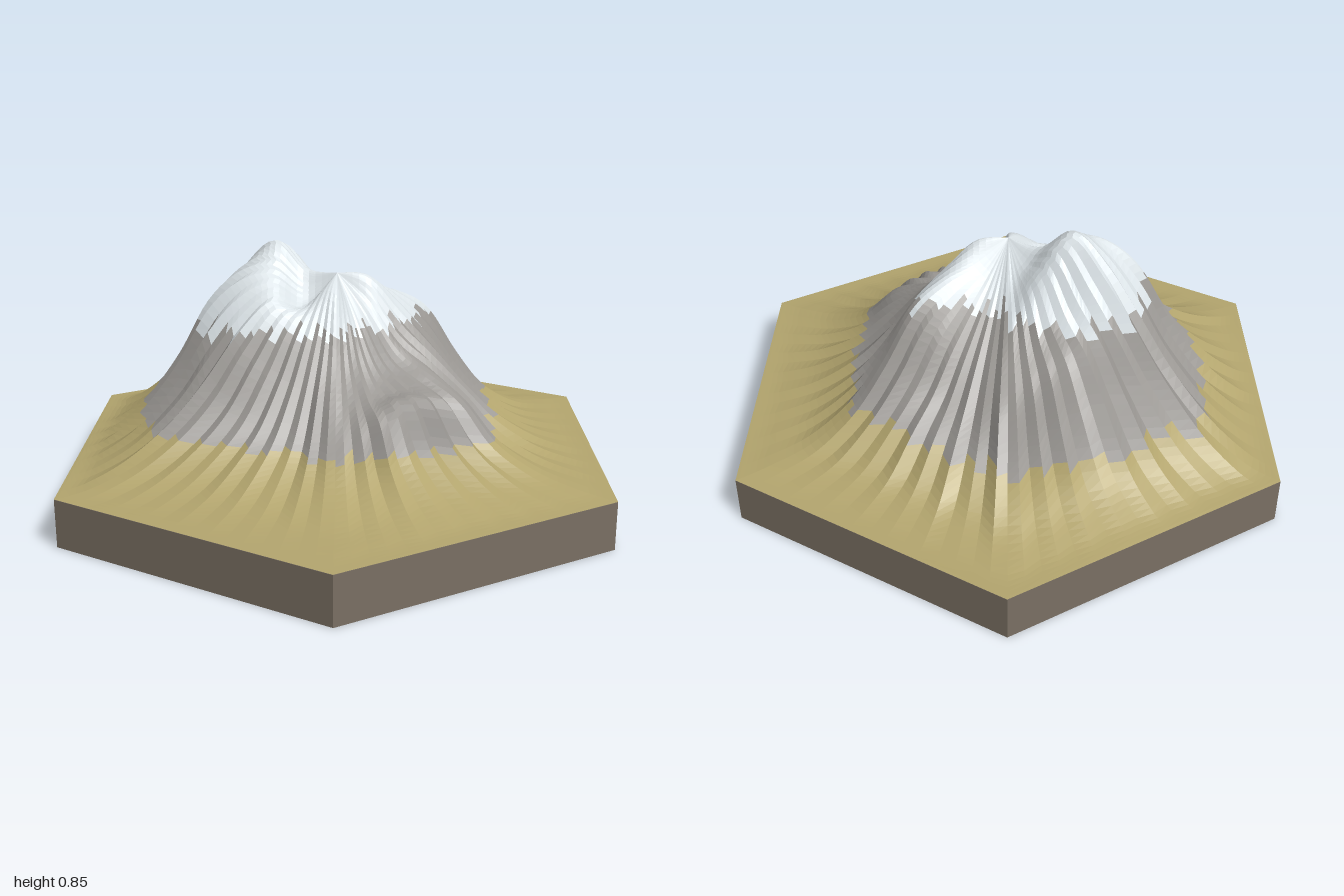
import * as THREE from 'three';

// Heights along 12 directions (every 30 degrees from +x towards +z) at the ring fractions below.
const RINGS = [0.12, 0.24, 0.36, 0.48, 0.6, 0.75, 0.9];
const HEIGHTS = [
  [0.75, 0.64, 0.52, 0.39, 0.29, 0.21, 0.17],
  [0.66, 0.52, 0.46, 0.39, 0.27, 0.20, 0.17],
  [0.64, 0.50, 0.43, 0.42, 0.29, 0.21, 0.17],
  [0.70, 0.53, 0.42, 0.31, 0.23, 0.18, 0.165],
  [0.71, 0.60, 0.45, 0.33, 0.26, 0.20, 0.17],
  [0.66, 0.68, 0.57, 0.42, 0.31, 0.22, 0.17],
  [0.70, 0.77, 0.75, 0.65, 0.46, 0.29, 0.19],
  [0.76, 0.845, 0.74, 0.58, 0.42, 0.27, 0.18],
  [0.71, 0.72, 0.61, 0.54, 0.41, 0.25, 0.18],
  [0.66, 0.58, 0.50, 0.42, 0.30, 0.20, 0.165],
  [0.66, 0.57, 0.48, 0.38, 0.31, 0.21, 0.17],
  [0.70, 0.67, 0.60, 0.43, 0.29, 0.20, 0.17],
];
const SUMMIT = 0.76;
const BASE_TOP = 0.16;
const PER_DIRECTION = 8;
const COLUMNS = 12 * PER_DIRECTION;
const STEPS = 44;

function seeded(seed) {
  return () => {
    seed = (seed * 16807) % 2147483647;
    return seed / 2147483647;
  };
}

// Smooth closed interpolation of one ring of heights.
function ringHeight(ring, s) {
  const k = Math.floor(s), f = s - k;
  const h = (o) => HEIGHTS[(k + o + 12) % 12][ring];
  const a = h(-1), b = h(0), c = h(1), d = h(2);
  return b + 0.5 * f * (c - a + f * (2 * a - 5 * b + 4 * c - d + f * (3 * (b - c) + d - a)));
}

// Point on the hexagon outline: odd directions are corners, even ones are edge middles.
function outline(s) {
  const at = (k) => {
    const r = k % 2 ? 1 : Math.sqrt(3) / 2;
    return new THREE.Vector2(Math.cos(k * Math.PI / 6) * r, Math.sin(k * Math.PI / 6) * r);
  };
  const k = Math.floor(s);
  return at(k).lerp(at(k + 1), s - k);
}

// One spoke of the terrain from summit to rim, nudged in or out to make jagged gullies.
function spoke(column, shift) {
  const s = column / PER_DIRECTION;
  const rim = outline(s);
  const profile = new THREE.SplineCurve([
    new THREE.Vector2(0, SUMMIT),
    ...RINGS.map((t, i) => new THREE.Vector2(t, ringHeight(i, s))),
    new THREE.Vector2(1, BASE_TOP + 0.001),
  ]);
  return Array.from({ length: STEPS + 1 }, (_, i) => {
    const p = profile.getPoint(i / STEPS);
    const t = p.x * (1 + shift * Math.sin(Math.PI * p.x));
    return new THREE.Vector3(rim.x * t, Math.max(p.y, BASE_TOP + 0.001), rim.y * t);
  });
}

export function createModel() {
  const group = new THREE.Group();
  const material = (name, color) => {
    const m = new THREE.MeshStandardMaterial({ color, flatShading: true });
    m.name = name;
    return m;
  };
  const add = (name, geometry, mat) => {
    const mesh = new THREE.Mesh(geometry, mat);
    mesh.name = name;
    group.add(mesh);
  };

  // Hexagonal earth slab
  const slab = new THREE.CylinderGeometry(1, 1, BASE_TOP, 6);
  slab.translate(0, BASE_TOP / 2, 0);
  add('hexBase', slab, material('earth', 0x7a7063));

  // Mountain surface, sorted by altitude into three bands
  const random = seeded(4711);
  const spokes = Array.from({ length: COLUMNS }, (_, j) =>
    spoke(j, (j % 2 ? 1 : -1) * 0.045 * random()));
  const bands = { grass: [], rock: [], snow: [] };
  for (let j = 0; j < COLUMNS; j++) {
    const left = spokes[j], right = spokes[(j + 1) % COLUMNS];
    const ragged = random() - 0.5;
    for (let i = 0; i < STEPS; i++) {
      const a = left[i], b = right[i], c = left[i + 1], d = right[i + 1];
      const y = (a.y + b.y + c.y + d.y) / 4;
      const band = y > 0.6 + ragged * 0.06 ? bands.snow
        : y > 0.29 + ragged * 0.03 ? bands.rock : bands.grass;
      band.push(a, d, c);
      if (i > 0) band.push(a, b, d);
    }
  }
  const surface = (points) => {
    const g = new THREE.BufferGeometry().setFromPoints(points);
    g.computeVertexNormals();
    return g;
  };
  add('grassSlopes', surface(bands.grass), material('dryGrass', 0xb3a56e));
  add('rockFaces', surface(bands.rock), material('rock', 0x9b9894));
  add('snowCaps', surface(bands.snow), material('snow', 0xe2eaee));
  return group;
}
